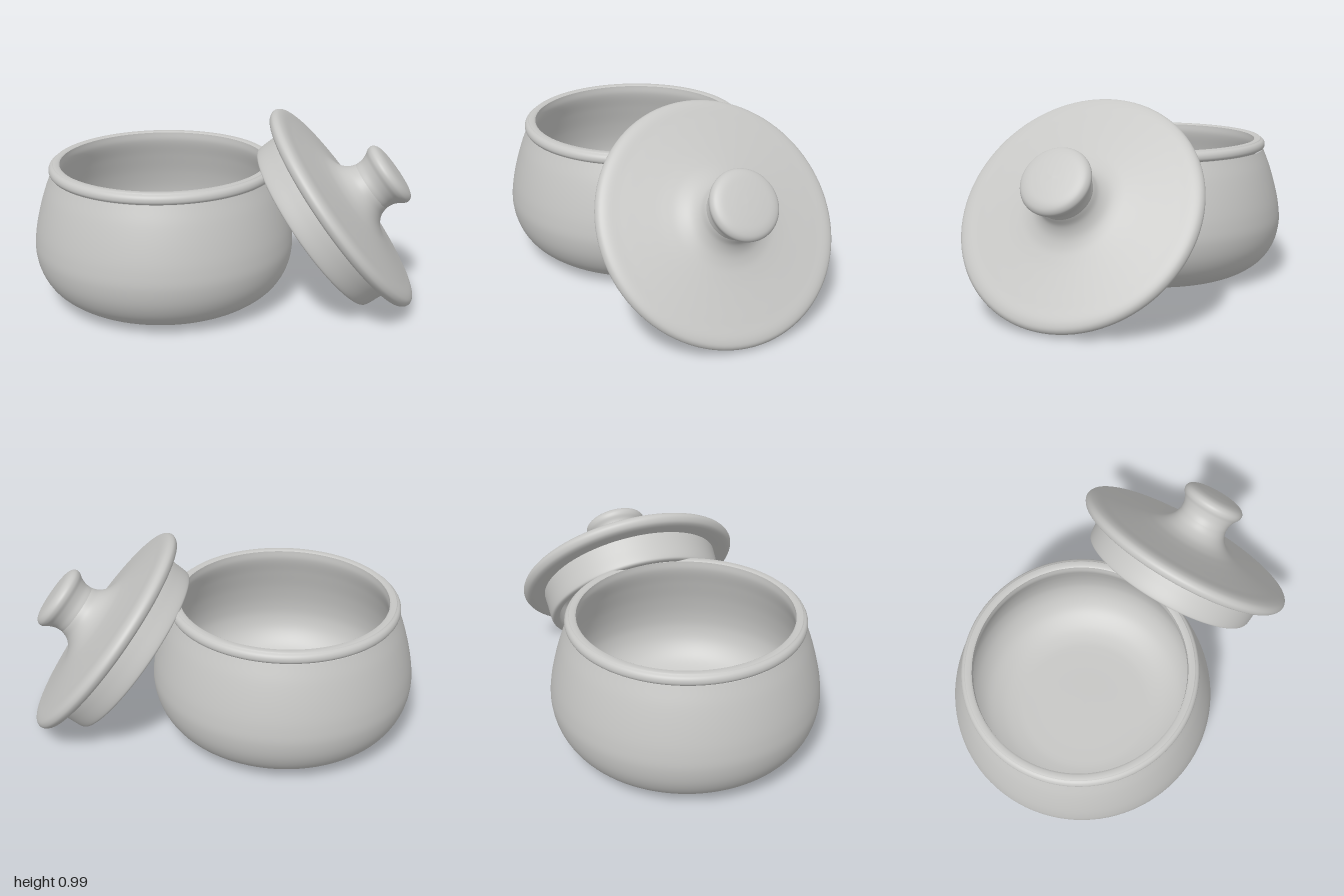
import * as THREE from 'three';

const stoneware = new THREE.MeshStandardMaterial({ color: 0xc6c6c4 });
stoneware.name = 'grey stoneware';

// Turns a profile of [radius, height] points, smoothed by a spline, around y.
// Profiles run from the underside outwards and up, so faces point outwards.
function turned(name, profile, smooth = true) {
  let points = profile.map(([r, y]) => new THREE.Vector2(r, y));
  if (smooth) {
    const curve = new THREE.CatmullRomCurve3(points.map((p) => new THREE.Vector3(p.x, p.y, 0)), false, 'centripetal');
    points = curve.getPoints(profile.length * 6).map((p) => new THREE.Vector2(Math.max(p.x, 0), p.y));
  }
  const mesh = new THREE.Mesh(new THREE.LatheGeometry(points, 96), stoneware);
  mesh.name = name;
  return mesh;
}

function createPot() {
  const pot = new THREE.Group();
  pot.name = 'pot';
  pot.add(
    // Slightly hollowed underside and bellied wall
    turned('potBody', [
      [0, 0.025], [0.2, 0.025], [0.3, 0.02], [0.37, 0.007], [0.42, 0.006], [0.48, 0.018], [0.55, 0.053],
      [0.615, 0.11], [0.66, 0.19], [0.68, 0.285], [0.675, 0.37], [0.655, 0.47], [0.62, 0.59], [0.583, 0.685],
    ]),
    // Rounded bead around the mouth
    turned('potRim', [
      [0.572, 0.685], [0.584, 0.688], [0.592, 0.699], [0.592, 0.715], [0.585, 0.728], [0.572, 0.737],
    ]),
    // Flat lip with a fine step
    turned('potLip', [[0.572, 0.737], [0.568, 0.742], [0.545, 0.742], [0.536, 0.736]], false),
    // Inner wall and floor
    turned('potInside', [
      [0.536, 0.736], [0.535, 0.69], [0.565, 0.59], [0.6, 0.47], [0.62, 0.36], [0.62, 0.28],
      [0.595, 0.2], [0.54, 0.13], [0.46, 0.085], [0.38, 0.065], [0.3, 0.06], [0, 0.06],
    ]),
  );
  pot.position.set(-0.32, 0, 0.05);
  return pot;
}

function createLid() {
  const lid = new THREE.Group();
  lid.name = 'lid';
  lid.add(
    // Hollow underside
    turned('lidUnderside', [[0, -0.01], [0.25, -0.015], [0.37, -0.025], [0.425, -0.05], [0.44, -0.09], [0.445, -0.178]]),
    // Locating collar that sits inside the pot mouth
    turned('lidCollar', [
      [0.445, -0.178], [0.45, -0.187], [0.46, -0.191], [0.478, -0.191], [0.488, -0.187], [0.493, -0.178],
      [0.497, -0.1], [0.5, -0.035],
    ]),
    // Flange with a rounded edge, rising into a gentle dome
    turned('lidPlate', [
      [0.5, -0.035], [0.575, -0.035], [0.598, -0.025], [0.611, 0], [0.602, 0.022], [0.575, 0.036],
      [0.5, 0.046], [0.4, 0.058], [0.3, 0.072], [0.235, 0.086], [0.185, 0.11], [0.152, 0.145], [0.137, 0.185],
    ]),
    // Flared knob
    turned('lidKnob', [
      [0.137, 0.185], [0.139, 0.22], [0.152, 0.255], [0.168, 0.28], [0.171, 0.3], [0.16, 0.318],
      [0.135, 0.33], [0.08, 0.337], [0, 0.34],
    ]),
  );
  // The lid leans against the side of the pot
  const axis = new THREE.Vector3(0.775, 0.61, -0.165).normalize();
  lid.quaternion.setFromUnitVectors(new THREE.Vector3(0, 1, 0), axis);
  lid.position.set(0.597, 0.507, -0.137);
  return lid;
}

export function createModel() {
  const model = new THREE.Group();
  model.name = 'lidded pot';
  model.add(createPot(), createLid());
  return model;
}
